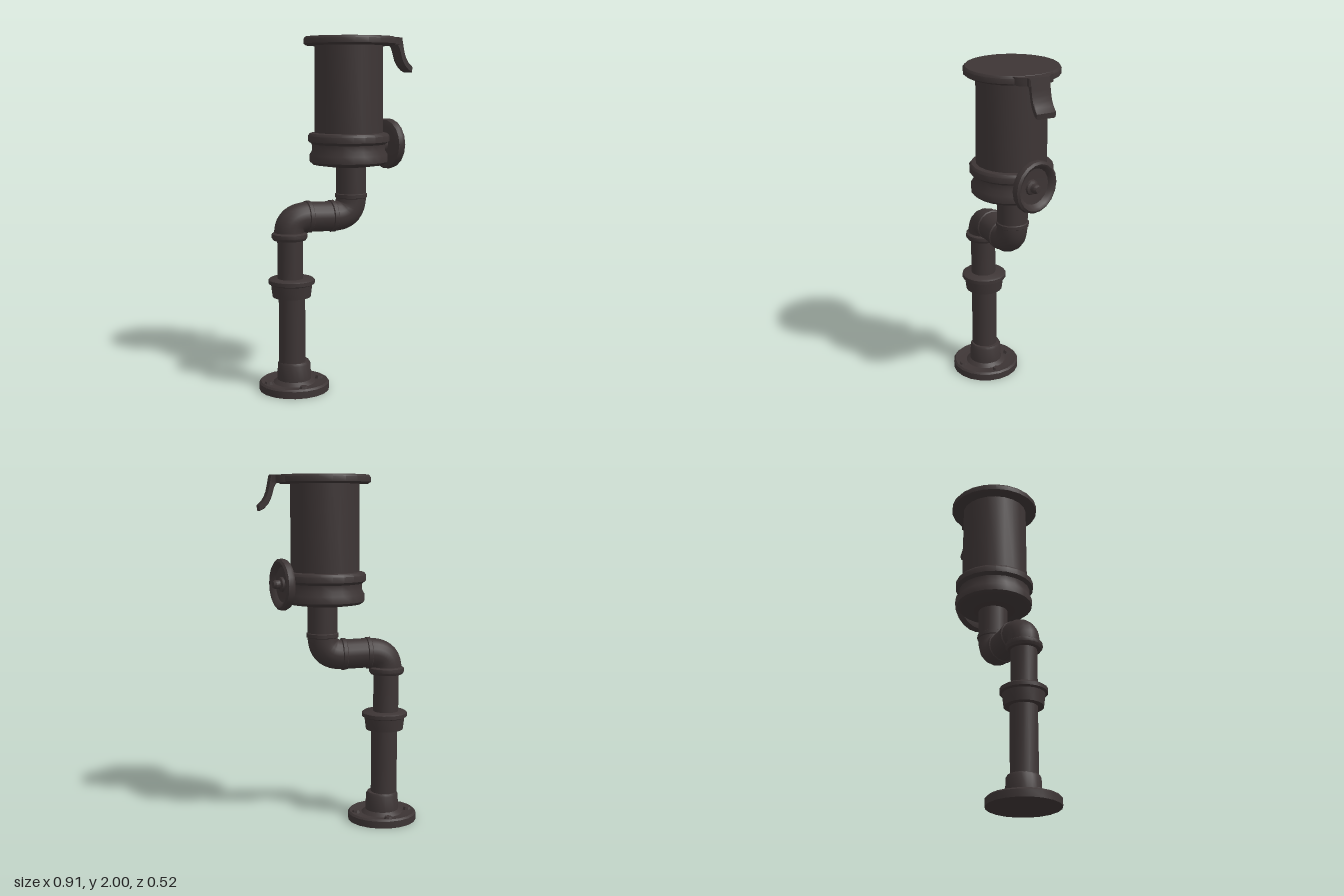
import * as THREE from 'three';
import { toCreasedNormals } from 'three/addons/utils/BufferGeometryUtils.js';

export function createModel() {
  const group = new THREE.Group();
  const iron = new THREE.MeshStandardMaterial({ color: 0x3d3535 });
  iron.name = 'darkIron';

  const add = (name, geometry, x = 0, y = 0, z = 0, parent = group) => {
    const mesh = new THREE.Mesh(toCreasedNormals(geometry, 0.7), iron);
    mesh.name = name;
    mesh.position.set(x, y, z);
    parent.add(mesh);
    return mesh;
  };
  // Profiles run from bottom to top as [radius, height]
  const lathe = (profile, sides = 20) =>
    new THREE.LatheGeometry(profile.map(([r, y]) => new THREE.Vector2(r, y)), sides);

  // Floor flange with four low bolts
  add('baseFlange', lathe([[0, 0], [0.2, 0], [0.2, 0.04], [0.19, 0.05], [0.15, 0.042],
    [0.12, 0.04], [0.097, 0.06], [0.093, 0.15], [0.085, 0.165], [0, 0.165]]), -0.257);
  for (let i = 0; i < 4; i++) {
    const a = i * Math.PI / 2;
    add('flangeBolt', new THREE.CylinderGeometry(0.02, 0.028, 0.02, 8),
      -0.257 + 0.155 * Math.cos(a), 0.048, 0.155 * Math.sin(a));
  }

  // Lower pipe and its fittings
  add('lowerPipe', new THREE.CylinderGeometry(0.076, 0.076, 0.5, 18), -0.268, 0.35);
  add('coupling', lathe([[0, 0.54], [0.108, 0.54], [0.117, 0.61], [0.131, 0.617],
    [0.131, 0.638], [0.12, 0.646], [0, 0.646]]), -0.269);
  add('upperPipe', new THREE.CylinderGeometry(0.073, 0.073, 0.26, 18), -0.277, 0.76);
  add('elbowCollar', lathe([[0, 0.865], [0.092, 0.865], [0.102, 0.88], [0.1, 0.9],
    [0.087, 0.908], [0, 0.908]]), -0.28);

  // S-shaped pipe: two elbows joined by a short horizontal run
  const v = (x, y) => new THREE.Vector3(x, y, 0);
  const path = new THREE.CurvePath();
  path.add(new THREE.LineCurve3(v(-0.28, 0.87), v(-0.28, 0.91)));
  path.add(new THREE.CubicBezierCurve3(v(-0.28, 0.91), v(-0.28, 0.96), v(-0.24, 0.99), v(-0.17, 0.99)));
  path.add(new THREE.LineCurve3(v(-0.17, 0.99), v(-0.02, 0.985)));
  path.add(new THREE.CubicBezierCurve3(v(-0.02, 0.985), v(0.06, 0.985), v(0.096, 1.02), v(0.096, 1.1)));
  path.add(new THREE.LineCurve3(v(0.096, 1.1), v(0.094, 1.3)));
  add('bentPipe', new THREE.TubeGeometry(path, 48, 0.086, 16, false));
  for (const [x, y, upright] of [[-0.17, 0.99, false], [-0.025, 0.987, false], [0.096, 1.1, true]]) {
    const ring = add('pipeRing', lathe([[0.08, -0.018], [0.092, -0.01], [0.092, 0.01], [0.08, 0.018]], 16), x, y);
    if (!upright) ring.rotation.z = Math.PI / 2;
  }

  // Tank body with a stepped band at its foot
  add('tank', lathe([[0, 1.265], [0.12, 1.268], [0.205, 1.28], [0.222, 1.295], [0.222, 1.335],
    [0.207, 1.36], [0.21, 1.395], [0.231, 1.41], [0.231, 1.442], [0.22, 1.456], [0.195, 1.46],
    [0.192, 1.96], [0, 1.96]], 22), 0.08);
  add('lid', lathe([[0, 1.945], [0.245, 1.945], [0.26, 1.955], [0.26, 1.982], [0.25, 1.994],
    [0, 2]], 22), 0.085);

  // Lug that carries the latch, drawn in plan
  const lugShape = new THREE.Shape([[0.22, -0.15], [0.31, -0.115], [0.345, -0.1], [0.365, -0.065],
    [0.385, -0.06], [0.385, 0.06], [0.365, 0.065], [0.345, 0.1], [0.31, 0.115], [0.22, 0.15]]
    .map(([x, y]) => new THREE.Vector2(x, y)));
  add('latchLug', new THREE.ExtrudeGeometry(lugShape, { depth: 0.042, bevelEnabled: false })
    .rotateX(-Math.PI / 2), 0, 1.95);

  // Curved latch lever, drawn from the side
  const lever = new THREE.Shape();
  lever.moveTo(0.35, 1.99);
  lever.lineTo(0.385, 1.99);
  lever.bezierCurveTo(0.4, 1.93, 0.395, 1.87, 0.453, 1.825);
  lever.lineTo(0.45, 1.8);
  lever.lineTo(0.43, 1.81);
  lever.bezierCurveTo(0.37, 1.86, 0.39, 1.92, 0.355, 1.955);
  lever.closePath();
  add('latchLever', new THREE.ExtrudeGeometry(lever, {
    depth: 0.1, bevelEnabled: true, bevelThickness: 0.005, bevelSize: 0.003, bevelSegments: 1, curveSegments: 6,
  }), 0, 0, -0.05);

  // Dished valve wheel on a short stem, facing slightly towards the back
  const wheel = new THREE.Group();
  wheel.name = 'valveWheel';
  wheel.position.set(0.315, 1.39, -0.008);
  wheel.rotation.set(0, 0.25, -Math.PI / 2, 'YXZ');
  group.add(wheel);
  add('wheelRim', lathe([[0, -0.022], [0.11, -0.022], [0.138, -0.012], [0.146, 0.005],
    [0.143, 0.028], [0.13, 0.037], [0.115, 0.03], [0.1, 0.008], [0, 0]], 18), 0, 0, 0, wheel);
  add('wheelHub', lathe([[0.045, 0], [0.04, 0.015], [0.026, 0.022], [0.026, 0.045],
    [0.018, 0.058], [0, 0.06]], 10), 0, 0, 0.018, wheel);
  add('wheelStem', new THREE.CylinderGeometry(0.05, 0.05, 0.14, 12), 0, -0.08, 0, wheel);

  return group;
}
